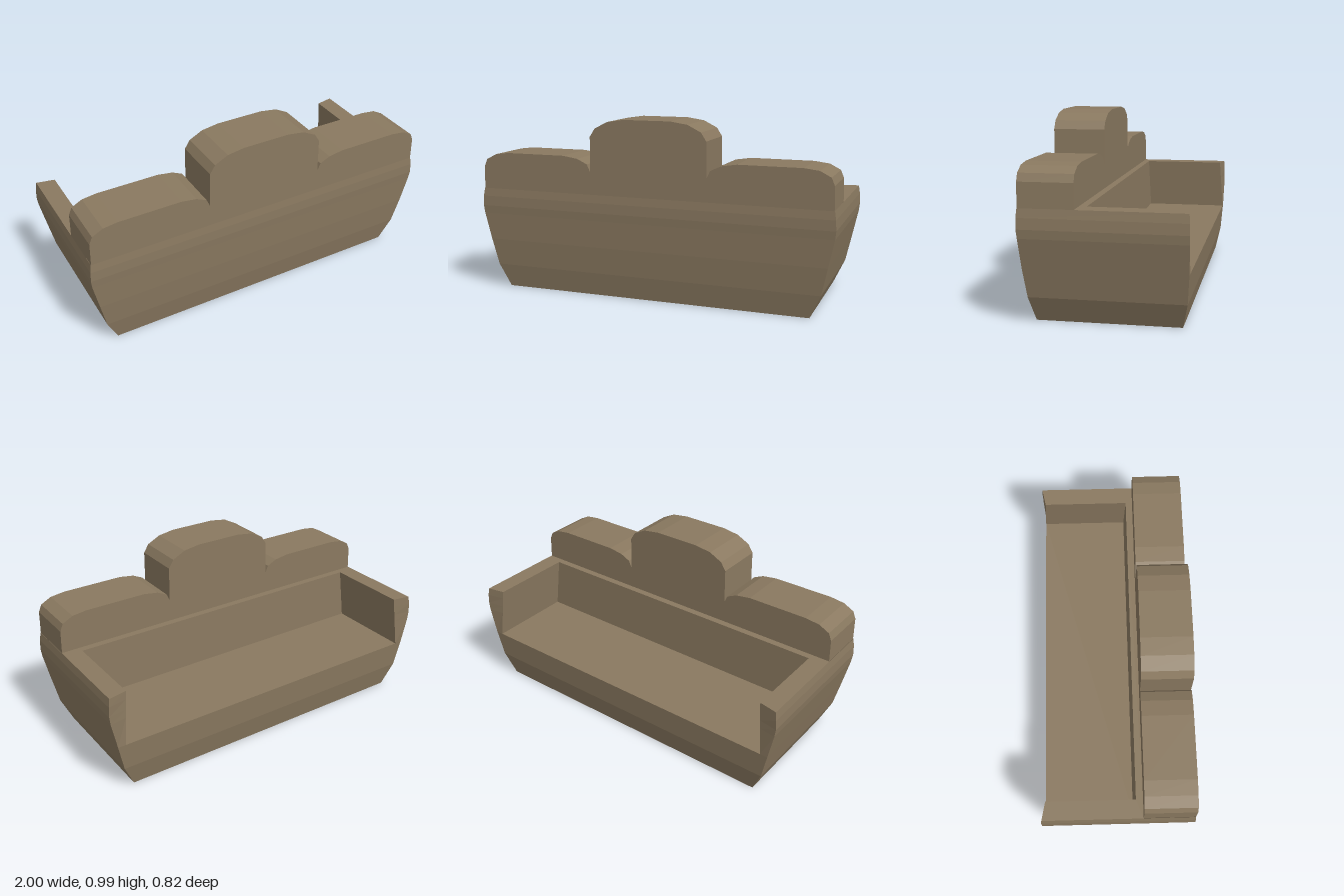
import * as THREE from 'three';

// Body levels: height, half width, seat-side z, backrest-side z
const levels = [
  [0, 0.87, -0.365, 0.357],
  [0.13, 0.93, -0.393, 0.382],
  [0.28, 0.963, -0.404, 0.398],
  [0.43, 0.995, -0.409, 0.408],
  [0.475, 1.0, -0.409, 0.412],
  [0.53, 0.997, -0.409, 0.412],
  [0.575, 0.99, -0.405, 0.408],
];
const SEAT = 2, TOP = levels.length - 1;
const seatY = levels[SEAT][0], armY = levels[TOP][0], backZ = 0.133;

// Inner edge of an armrest, from the seat (t = 0) to the top (t = 1)
const inner = (y) => {
  const t = (y - seatY) / (armY - seatY);
  return { x: 0.92 - 0.03 * t, front: -0.404 + 0.019 * t, back: 0.085 + 0.01 * t };
};

// Flat-sided geometry from a list of four-cornered faces
function fromQuads(quads) {
  const pos = [];
  for (const [a, b, c, d] of quads) pos.push(...a, ...b, ...c, ...a, ...c, ...d);
  const g = new THREE.BufferGeometry();
  g.setAttribute('position', new THREE.Float32BufferAttribute(pos, 3));
  g.computeVertexNormals();
  return g;
}

// Face across the width, mirrored in x: lower edge then upper edge
const across = ([x0, y0, z0], [x1, y1, z1]) =>
  [[x0, y0, z0], [-x0, y0, z0], [-x1, y1, z1], [x1, y1, z1]];

const mirrorQuad = (q) => q.map(([x, y, z]) => [-x, y, z]).reverse();

export function createModel() {
  const group = new THREE.Group();
  const fabric = new THREE.MeshStandardMaterial({ color: 0x8a7960 });
  fabric.flatShading = true;
  fabric.side = THREE.DoubleSide;
  const add = (name, geometry) => {
    const mesh = new THREE.Mesh(geometry, fabric);
    mesh.name = name;
    group.add(mesh);
    return mesh;
  };

  // Base, outer back and seat
  const [, bx, bf, bb] = levels[0];
  const base = [[[bx, 0, bf], [bx, 0, bb], [-bx, 0, bb], [-bx, 0, bf]]];
  const sides = [];
  for (let i = 0; i < TOP; i++) {
    const [y0, x0, f0, b0] = levels[i], [y1, x1, f1, b1] = levels[i + 1];
    base.push(across([-x0, y0, b0], [-x1, y1, b1]));
    if (i < SEAT) base.push(across([x0, y0, f0], [x1, y1, f1]));
    sides.push([[x0, y0, b0], [x0, y0, f0], [x1, y1, f1], [x1, y1, b1]]);
  }
  add('base', fromQuads([...base, ...sides.slice(0, SEAT), ...sides.slice(0, SEAT).map(mirrorQuad)]));

  const low = inner(seatY), high = inner(armY);
  add('seat', fromQuads([across([low.x, seatY, low.front], [low.x, seatY, low.back])]));
  add('backPanel', fromQuads([
    across([low.x, seatY, low.back], [high.x, armY, high.back]),
    across([high.x, armY, high.back], [0.99, armY, backZ]),
  ]));

  // Armrests: outer wall, front end, inner wall and top
  const arm = sides.slice(SEAT);
  for (let i = SEAT; i < TOP; i++) {
    const [y0, x0, f0] = levels[i], [y1, x1, f1] = levels[i + 1];
    const p = inner(y0), q = inner(y1);
    arm.push([[x0, y0, f0], [p.x, y0, p.front], [q.x, y1, q.front], [x1, y1, f1]]);
  }
  arm.push([[low.x, seatY, low.front], [low.x, seatY, low.back],
    [high.x, armY, high.back], [high.x, armY, high.front]]);
  arm.push([[0.99, armY, levels[TOP][2]], [high.x, armY, high.front],
    [high.x, armY, high.back], [0.99, armY, backZ]]);
  add('leftArmrest', fromQuads(arm));
  add('rightArmrest', fromQuads(arm.map(mirrorQuad)));

  // Backrest with three rounded humps, one half of the outline mirrored
  const half = [
    [0.988, armY], [0.985, 0.7], [0.968, 0.74], [0.91, 0.77], [0.83, 0.78],
    [0.49, 0.78], [0.405, 0.767], [0.348, 0.74], [0.33, 0.7], [0.327, 0.89],
    [0.298, 0.935], [0.225, 0.972], [0.13, 0.986],
  ];
  const outline = [...half, ...half.map(([x, y]) => [-x, y]).reverse()];
  const shape = new THREE.Shape(outline.map(([x, y]) => new THREE.Vector2(x, y)));
  const backrest = add('backrest', new THREE.ExtrudeGeometry(shape, {
    depth: 0.408 - backZ, bevelEnabled: false,
  }));
  backrest.position.z = backZ;

  return group;
}
